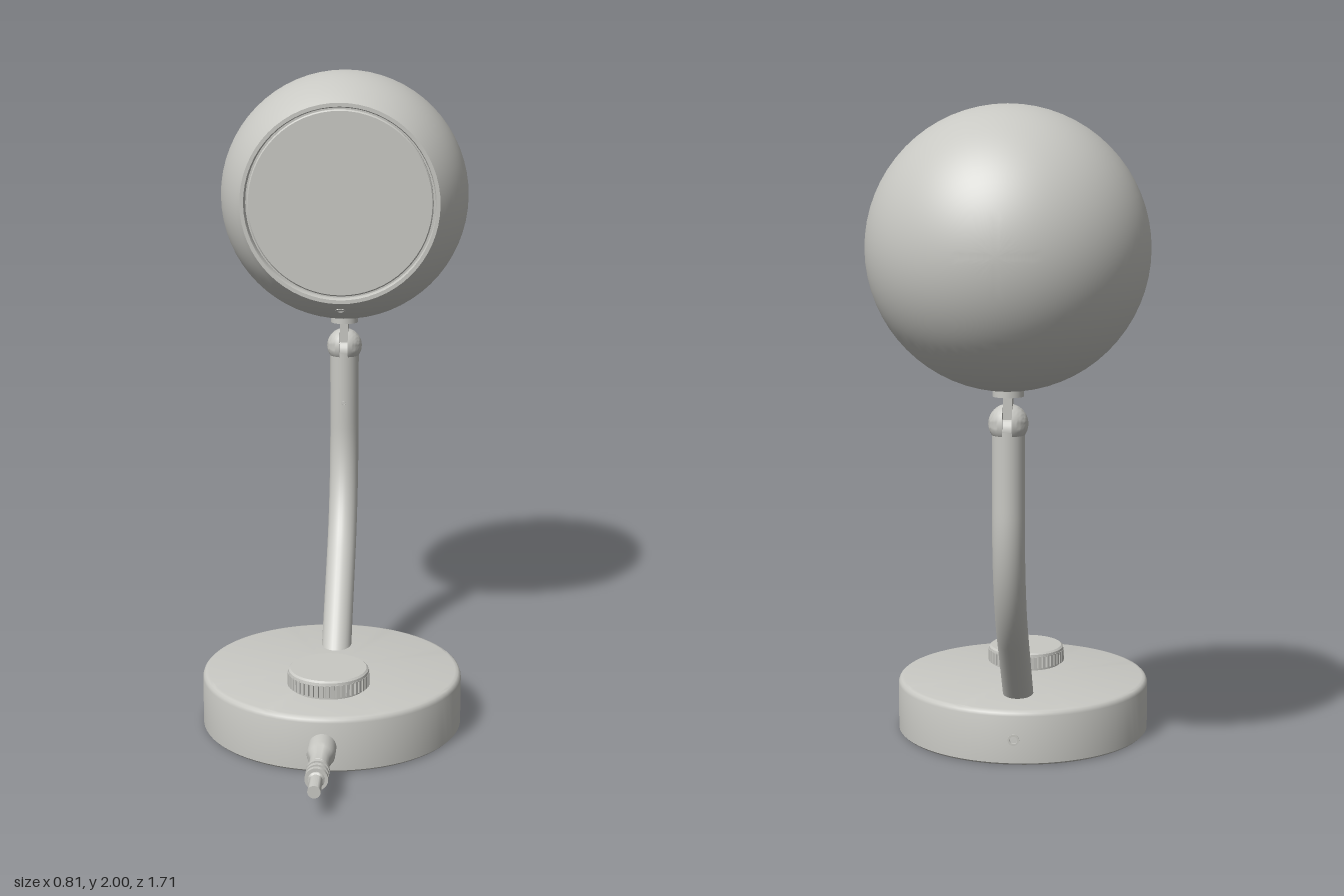
import * as THREE from 'three';
import { toCreasedNormals } from 'three/addons/utils/BufferGeometryUtils.js';

const HEAD = { y: 1.593, z: -0.448, r: 0.407 };
const BASE_Z = 0.145;
const ARM_Z = -0.445;

export function createModel() {
  const model = new THREE.Group();
  model.name = 'deskLamp';
  const paint = new THREE.MeshStandardMaterial({ color: 0xc8c8c3 });
  paint.name = 'warmGrey';

  const add = (name, geometry, x = 0, y = 0, z = 0) => {
    const mesh = new THREE.Mesh(geometry, paint);
    mesh.name = name;
    mesh.position.set(x, y, z);
    model.add(mesh);
    return mesh;
  };
  // Turned part: profile pairs [radius, height], listed so the outside faces out
  const turned = (profile, segments = 48) => toCreasedNormals(
    new THREE.LatheGeometry(profile.map(([r, h]) => new THREE.Vector2(r, h)), segments), 0.6);
  // Same, with the axis laid along +z
  const turnedZ = (profile, segments) => turned(profile, segments).rotateX(Math.PI / 2);

  // Base: rounded puck with a lip underneath
  add('base', turned([
    [0, 0.03], [0.388, 0.03], [0.388, 0], [0.4, 0], [0.406, 0.006], [0.406, 0.155],
    [0.403, 0.164], [0.397, 0.17], [0.388, 0.172], [0, 0.172],
  ], 72), 0, 0, BASE_Z);

  // Underside plate with a cable channel and four screw holes
  const plate = new THREE.Shape().absarc(0, 0, 0.388, 0, Math.PI * 2);
  const half = [[0.07, -0.33], [0.07, -0.14], [0.05, -0.1], [0.05, 0.1], [0.15, 0.27], [0.15, 0.33]];
  const channel = [...half, ...half.map(([x, z]) => [-x, z]).reverse()];
  plate.holes.push(new THREE.Path(channel.map(([x, z]) => new THREE.Vector2(x, z))));
  for (const sx of [-1, 1]) for (const sz of [-1, 1]) {
    plate.holes.push(new THREE.Path().absarc(sx * 0.24, sz * 0.24, 0.02, 0, Math.PI * 2));
  }
  add('undersidePlate', new THREE.ExtrudeGeometry(plate, { depth: 0.026, bevelEnabled: false, curveSegments: 32 })
    .rotateX(Math.PI / 2), 0, 0.03, BASE_Z);
  add('channelBlock', new THREE.BoxGeometry(0.07, 0.016, 0.11), 0, 0.022, BASE_Z - 0.24);
  add('channelClip', new THREE.BoxGeometry(0.1, 0.016, 0.03), 0, 0.022, BASE_Z + 0.27);

  // Knob: knurled ring with a smooth cap
  const teeth = 48, knurl = [];
  for (let i = 0; i < teeth; i++) {
    [[0, 0.126], [0.6, 0.126], [0.7, 0.119], [0.9, 0.119]].forEach(([t, r]) => {
      const a = (i + t) / teeth * Math.PI * 2;
      knurl.push(new THREE.Vector2(Math.cos(a) * r, Math.sin(a) * r));
    });
  }
  add('knobGrip', new THREE.ExtrudeGeometry(new THREE.Shape(knurl), { depth: 0.04, bevelEnabled: false })
    .rotateX(-Math.PI / 2), 0, 0.18, 0.295);
  add('knobCap', turned([[0.115, 0.17], [0.115, 0.215], [0.125, 0.217], [0.123, 0.227], [0.117, 0.232], [0, 0.232]]),
    0, 0, 0.295);

  // Power lead with a ribbed strain relief
  const lead = [[0.042, 0.53], [0.042, 0.605], [0.038, 0.622], [0.03, 0.648], [0.029, 0.695]];
  for (let i = 0; i < 3; i++) {
    const z = 0.7 + i * 0.026;
    lead.push([0.024, z], [0.024, z + 0.008], [0.034, z + 0.008], [0.034, z + 0.022], [0.024, z + 0.022]);
  }
  lead.push([0.024, 0.778], [0.019, 0.782], [0.019, 0.857], [0, 0.857]);
  add('powerLead', turnedZ(lead, 24), 0, 0.08, 0);

  // Small ringed fastener facing +z
  const fastener = (name, r, x, y, z, tilt) => {
    const mesh = add(name, turnedZ([[r, -0.01], [r, 0.002], [r * 0.65, 0.002], [r * 0.5, -0.007], [0, -0.007]], 20), x, y, z);
    mesh.rotation.x = tilt;
  };
  fastener('baseScrew', 0.018, 0, 0.08, BASE_Z - 0.406, Math.PI);
  fastener('armPin', 0.008, 0, 0.9, ARM_Z + 0.048, 0);
  fastener('headScrew', 0.016, 0, 1.245, HEAD.z + 0.211, 1.026);

  // Bent arm
  const path = new THREE.CurvePath();
  const v = (y, z) => new THREE.Vector3(0, y, z);
  path.add(new THREE.LineCurve3(v(0.1, 0), v(0.41, -0.287)));
  path.add(new THREE.QuadraticBezierCurve3(v(0.41, -0.287), v(0.58, ARM_Z), v(0.82, ARM_Z)));
  path.add(new THREE.LineCurve3(v(0.82, ARM_Z), v(1.07, ARM_Z)));
  add('arm', new THREE.TubeGeometry(path, 48, 0.048, 28));

  // Slotted ball joint: two cheeks around a pivot tab
  const ball = 0.058, slot = 0.014, start = Math.acos(slot / ball);
  const cheek = [[0, slot]];
  for (let i = 0; i <= 12; i++) {
    const a = start * (1 - i / 12);
    cheek.push([Math.sin(a) * ball, Math.cos(a) * ball]);
  }
  for (const s of [-1, 1]) {
    add(s > 0 ? 'leftCheek' : 'rightCheek', turned(cheek, 32).rotateZ(-s * Math.PI / 2), 0, 1.09, ARM_Z);
  }
  add('jointFloor', new THREE.CylinderGeometry(0.044, 0.044, slot * 2, 28).rotateZ(Math.PI / 2), 0, 1.07, ARM_Z);
  add('pivotTab', new THREE.BoxGeometry(0.026, 0.1, 0.054), 0, 1.135, ARM_Z);
  add('collar', new THREE.CylinderGeometry(0.045, 0.045, 0.045, 32), 0, 1.192, ARM_Z);

  // Spherical head, cut flat at the front with a shallow recess
  const cut = 0.253, rim = Math.sqrt(HEAD.r ** 2 - cut ** 2), end = Math.asin(cut / HEAD.r);
  const shell = [];
  for (let i = 0; i <= 36; i++) {
    const a = -Math.PI / 2 + (end + Math.PI / 2) * i / 36;
    shell.push([i ? Math.cos(a) * HEAD.r : 0, Math.sin(a) * HEAD.r]);
  }
  shell.push([rim - 0.012, cut], [0.304, cut - 0.006], [0.304, cut - 0.035], [0.29, cut - 0.035]);
  add('headShell', turnedZ(shell, 64), 0, HEAD.y, HEAD.z);
  add('diffuser', turnedZ([[0.297, cut - 0.036], [0.297, cut - 0.018], [0.293, cut - 0.014], [0, cut - 0.014]], 64),
    0, HEAD.y, HEAD.z);

  return model;
}
